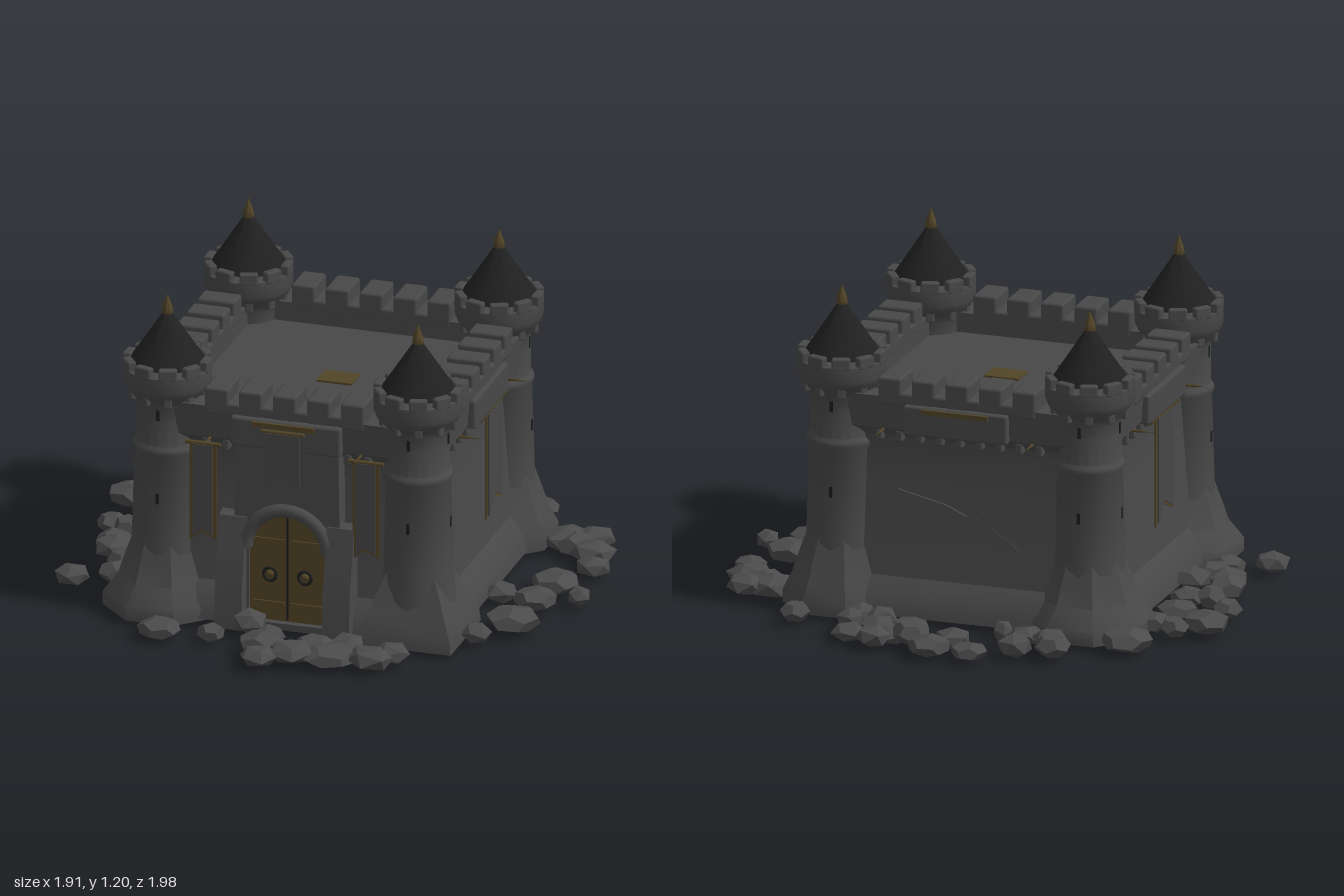
import * as THREE from 'three';
import { toCreasedNormals } from 'three/addons/utils/BufferGeometryUtils.js';
import { RoundedBoxGeometry } from 'three/addons/geometries/RoundedBoxGeometry.js';

const mat = (name, color, extra = {}) => {
  const m = new THREE.MeshStandardMaterial({ color, ...extra });
  m.name = name;
  return m;
};
const stone = mat('stone', 0x484848, { side: THREE.DoubleSide });
const rock = mat('rock', 0x4b4b4b, { flatShading: true });
const slate = mat('roof slate', 0x202020);
const gold = mat('old gold', 0x524527);
const cloth = mat('banner cloth', 0x474747, { side: THREE.DoubleSide });
const dark = mat('dark recess', 0x1c1c1c);

function add(parent, name, geo, material, x = 0, y = 0, z = 0) {
  const m = new THREE.Mesh(geo, material);
  m.name = name;
  m.position.set(x, y, z);
  parent.add(m);
  return m;
}
const box = (w, h, d) => new THREE.BoxGeometry(w, h, d);
const block = (w, h, d, r = 0.01) => new RoundedBoxGeometry(w, h, d, 1, r);
const polygon = (pts) => new THREE.Shape(pts.map(([x, y]) => new THREE.Vector2(x, y)));
const extrude = (shape, depth) =>
  new THREE.ExtrudeGeometry(shape, { depth, bevelEnabled: false, curveSegments: 16 });
const lathe = (pts, sides, start = 0, arc = Math.PI * 2) =>
  toCreasedNormals(new THREE.LatheGeometry(pts.map(([r, y]) => new THREE.Vector2(r, y)), sides, start, arc), 0.7);

// Open sheet from x0 to x1 that follows a [z, y] profile, listed from the bottom up
function sheet(profile, x0, x1) {
  const geo = new THREE.PlaneGeometry(x1 - x0, 1, 1, profile.length - 1);
  const p = geo.attributes.position;
  for (let i = 0; i < p.count; i++) {
    const [z, y] = profile[profile.length - 1 - Math.floor(i / 2)];
    p.setXYZ(i, i % 2 ? x1 : x0, y, z);
  }
  return toCreasedNormals(geo, 0.5);
}

let seed = 7;
const rand = () => (seed = (seed * 16807) % 2147483647) / 2147483647;

// Corner tower: flared foot and shaft open to the hollow inside, crown, cone roof
function tower(x, z, foot, square) {
  const g = new THREE.Group();
  g.name = 'cornerTower';
  g.position.set(x, 0, z);
  const out = Math.atan2(Math.sign(x), Math.sign(z));
  const [sides, arc] = square ? [2, Math.PI] : [5, Math.PI * 1.25];
  const flare = square ? [[foot, 0.03], [foot * 0.97, 0.08], [0.205, 0.14], [0.16, 0.22], [0.115, 0.3]]
    : [[foot, 0.03], [foot, 0.08], [0.175, 0.15], [0.145, 0.24], [0.115, 0.32]];
  add(g, 'towerFoot', lathe(flare, sides, out - arc / 2, arc), stone);
  add(g, 'towerShaft', lathe([[0.145, 0.05], [0.133, 0.2], [0.126, 0.3], [0.117, 0.62], [0.125, 0.635], [0.125, 0.65],
    [0.113, 0.665], [0.113, 0.77]], 15, out - Math.PI * 0.75, Math.PI * 1.5), stone);
  add(g, 'towerCrown', lathe([[0.113, 0.765], [0.113, 0.81], [0.125, 0.835], [0.15, 0.865], [0.158, 0.885],
    [0.158, 0.94], [0.125, 0.94], [0.122, 0.92], [0, 0.92]], 20), stone);
  add(g, 'towerRoof', lathe([[0, 0.957], [0.136, 0.957], [0.1, 1.01], [0.018, 1.135]], 20), slate);
  add(g, 'spireTip', lathe([[0.014, 1.125], [0.022, 1.14], [0.018, 1.16], [0, 1.207]], 8), gold);
  for (let i = 0; i < 10; i++) {
    const a = (i + 0.5) * Math.PI / 5, s = Math.sin(a), c = Math.cos(a);
    add(g, 'towerMerlon', block(0.066, 0.045, 0.032, 0.007), stone, s * 0.142, 0.953, c * 0.142).rotation.y = a;
    add(g, 'towerCorbel', block(0.03, 0.04, 0.03, 0.007), stone, s * 0.128, 0.842, c * 0.128).rotation.y = a;
  }
  for (let i = 0; i < 4; i++) {
    const a = i * Math.PI / 2;
    for (const [y, r] of [[0.785, 0.112], [0.47, 0.12]])
      add(g, 'arrowSlit', box(0.012, 0.04, 0.006), dark, Math.sin(a) * r, y, Math.cos(a) * r).rotation.y = a;
  }
  return g;
}

// Swallow-tailed banner with a gold border behind the cloth
function banner(w, h, trim, rod) {
  const g = new THREE.Group();
  g.name = 'banner';
  const tail = (hw, len) => {
    const s = polygon([[-hw, 0], [-hw, -len], [-hw * 0.1, -len + w * 0.36], [hw, -len + w * 0.12], [hw, 0]]);
    return extrude(s, 0.006);
  };
  if (trim) add(g, 'bannerBorder', tail(w / 2, h), gold, 0, 0, -0.004);
  add(g, 'bannerCloth', tail(w / 2 - trim, h - trim), cloth, 0, 0, 0.003);
  add(g, 'bannerRod', new THREE.CylinderGeometry(0.008, 0.008, rod, 8), gold, 0, 0.004, 0).rotation.z = Math.PI / 2;
  return g;
}

const wallFoot = [[0.61, 0.04], [0.6, 0.1], [0.55, 0.17], [0.535, 0.3], [0.52, 0.5]];
const wallHead = [[0.52, 0.5], [0.51, 0.64], [0.515, 0.68], [0.56, 0.72], [0.57, 0.84], [0.435, 0.84], [0.435, 0.76]];

// One curtain wall facing +z, later turned to its side; the front one leaves a gateway
function wall(turn) {
  const g = new THREE.Group();
  g.name = 'curtainWall';
  g.position.set(-0.015, 0, 0.01);
  g.rotation.y = turn * Math.PI / 2;
  add(g, 'wallHead', sheet(wallHead, -0.46, 0.46), stone);
  for (const [x0, x1] of turn === 0 ? [[-0.46, -0.14], [0.16, 0.46]] : [[-0.46, 0.46]])
    add(g, 'wallFoot', sheet(wallFoot, x0, x1), stone);
  add(g, 'parapetPanel', block(0.39, 0.11, 0.07), stone, 0, 0.765, 0.555);
  add(g, 'parapetTop', block(0.54, 0.04, 0.14), stone, 0, 0.838, 0.503);
  for (let i = -2; i <= 2; i++) add(g, 'merlon', block(0.088, 0.1, 0.14), stone, i * 0.126, 0.861, 0.503);
  for (let i = -4; i <= 4; i++) add(g, 'corbel', block(0.028, 0.045, 0.04, 0.008), stone, i * 0.075, 0.69, 0.53);
  // Poles pointing out beside the towers
  for (const s of [-1, 1])
    add(g, 'bannerPole', new THREE.ConeGeometry(0.009, 0.12, 6), gold, s * 0.28, 0.715, 0.58).rotation.x = Math.PI / 2;
  return g;
}

// Shallow broken stone faces on a wall
function chips(g, list) {
  for (const [x, y, s, tilt] of list) {
    const geo = extrude(polygon([[-0.13, 0.05], [-0.14, -0.03], [0.12, -0.05], [0.05, -0.01]]), 0.03);
    geo.scale(s, s, 1);
    add(g, 'brokenStone', geo, stone, x, y, 0.504).rotation.set(-0.08, 0, tilt);
  }
}

// Arched outline for the door and its opening
function arch(path, hw, bottom, spring) {
  path.moveTo(-hw, bottom);
  path.lineTo(hw, bottom);
  path.lineTo(hw, spring);
  path.absarc(0, spring, hw, 0, Math.PI, false);
  path.lineTo(-hw, bottom);
  return path;
}

function gatehouse() {
  const g = new THREE.Group();
  g.name = 'gatehouse';
  const front = polygon([[-0.25, 0.04], [0.25, 0.04], [0.215, 0.2], [0.195, 0.45], [0.19, 0.74], [-0.19, 0.74],
    [-0.195, 0.45], [-0.215, 0.2]]);
  front.holes.push(arch(new THREE.Path(), 0.14, 0.045, 0.33));
  add(g, 'gateFront', extrude(front, 0.07), stone, 0, 0, 0.525);
  add(g, 'gateArch', new THREE.TorusGeometry(0.152, 0.025, 8, 20, Math.PI), stone, 0, 0.33, 0.595);
  add(g, 'gateCrown', block(0.4, 0.11, 0.06), stone, 0, 0.765, 0.575);
  add(g, 'gateSill', box(0.3, 0.025, 0.06), stone, 0, 0.042, 0.58);
  for (const s of [-1, 1]) {
    // Buttress beside the door, sloping back at the top
    const b = sheet([[0.66, 0.03], [0.65, 0.2], [0.62, 0.34], [0.6, 0.44], [0.56, 0.45]], s * 0.2 - 0.05, s * 0.2 + 0.05);
    add(g, 'gateButtress', b, stone);
    for (const x of [0.15, 0.25]) {
      const cheek = new THREE.ShapeGeometry(polygon([[-0.66, 0.03], [-0.65, 0.2], [-0.62, 0.34], [-0.6, 0.44],
        [-0.56, 0.45], [-0.56, 0.03]]));
      cheek.rotateY(Math.PI / 2);
      add(g, 'buttressCheek', cheek, stone, s * x);
    }
    add(g, 'doorRing', new THREE.TorusGeometry(0.024, 0.006, 6, 14), dark, s * 0.065, 0.23, 0.59);
    add(g, 'doorBoss', new THREE.SphereGeometry(0.015, 8, 6), gold, s * 0.065, 0.235, 0.588);
    for (const y of [0.12, 0.36]) add(g, 'doorStrap', box(0.115, 0.014, 0.008), gold, s * 0.07, y, 0.587);
  }
  add(g, 'door', extrude(arch(new THREE.Shape(), 0.142, 0.05, 0.33), 0.03), gold, 0, 0, 0.555);
  add(g, 'doorSeam', box(0.006, 0.4, 0.004), dark, 0, 0.26, 0.586);
  const b = banner(0.13, 0.21, 0, 0.16);
  b.position.set(-0.01, 0.78, 0.612);
  g.add(b);
  add(g, 'goldBar', box(0.23, 0.018, 0.012), gold, -0.01, 0.805, 0.608);
  return g;
}

// Loose flat rocks around the walls: x, z, radius
const rocksBack = [-.19, -.92, .06, -.04, -.92, .07, -.09, -.81, .06, .18, -.89, .06, .06, -.83, .06, .1, -.73, .07,
  .2, -.78, .06, .29, -.84, .06, .31, -.76, .05, .23, -.66, .05, .54, -.7, .05, -.46, -.8, .06, -.33, -.83, .06,
  -.42, -.71, .06, -.32, -.67, .06, -.24, -.7, .035, -.68, -.63, .085, .14, -.82, .06, .31, -.65, .05];
const rocksLeft = [-.79, -.44, .05, -.88, -.36, .08, -.69, -.4, .06, -.72, -.2, .07, -.88, -.13, .05, -.8, -.07, .05,
  -.71, -.07, .06, -.81, .06, .06, -.79, .13, .07, -.71, .21, .07, -.72, .32, .06, -.86, .4, .06, -.66, .12, .07];
const rocksFront = [-.42, .77, .07, -.23, .76, .045, -.12, .65, .06, -.03, .69, .05, -.02, .81, .08, 0, .925, .065,
  .1, .86, .08, .23, .83, .1, .26, .71, .06, .38, .82, .08, .44, .76, .06, .16, .78, .07];
const rocksRight = [.67, .49, .05, .76, .34, .09, .63, .08, .06, .77, .12, .07, .91, .05, .04, .79, -.05, .08,
  .71, -.45, .09, .8, -.48, .07, .83, -.36, .08, .87, -.24, .06, .76, -.41, .07];

export function createModel() {
  const model = new THREE.Group();
  model.name = 'castle';

  model.add(tower(-0.48, 0.48, 0.23), tower(0.45, 0.48, 0.25, true), tower(-0.48, -0.46, 0.23), tower(0.45, -0.46, 0.21));

  const walls = [0, 1, 2, 3].map(wall);
  model.add(...walls);
  chips(walls[1], [[-0.12, 0.42, 1.3, 0], [0.2, 0.45, 0.6, 0.5]]);
  chips(walls[2], [[-0.1, 0.45, 1, 0.1], [0.15, 0.35, 0.8, -0.2]]);
  add(walls[2], 'goldBar', box(0.25, 0.018, 0.012), gold, 0, 0.805, 0.594);

  // Banners on the front and both flanks: wall, x, width, height, trim, rod, distance out
  for (const [w, x, width, h, trim, rod, d] of [[0, -0.295, 0.1, 0.37, 0.014, 0.13, 0.588],
    [0, 0.31, 0.1, 0.37, 0.014, 0.13, 0.588], [1, 0.06, 0.18, 0.4, 0.012, 0.3, 0.576], [3, 0, 0.18, 0.4, 0.012, 0.3, 0.576]]) {
    const b = banner(width, h, trim, rod);
    b.position.set(x, 0.7, d);
    walls[w].add(b);
  }
  model.add(gatehouse());

  // Roof deck with a hatch, and the ceiling of the hollow gate hall
  add(model, 'deck', box(0.89, 0.012, 0.89), stone, -0.015, 0.762, 0.01);
  add(model, 'hatch', box(0.13, 0.008, 0.1), gold, 0.01, 0.771, 0.03);
  add(model, 'hallCeiling', new THREE.PlaneGeometry(1.04, 1.04), stone, -0.015, 0.38, 0.01).rotation.x = Math.PI / 2;

  for (const list of [rocksBack, rocksLeft, rocksFront, rocksRight])
    for (let i = 0; i < list.length; i += 3) {
      const r = list[i + 2], h = 0.034 + rand() * 0.012;
      const geo = rand() < 0.5 ? new THREE.IcosahedronGeometry(1, 0) : new THREE.DodecahedronGeometry(1, 0);
      geo.rotateX(rand() * 6);
      geo.rotateY(rand() * 6);
      geo.scale(r * 1.13, h, r * (1 + rand() * 0.15));
      add(model, 'rock', geo, rock, list[i], h + 0.01 + rand() * 0.014, list[i + 1]);
    }
  return model;
}
